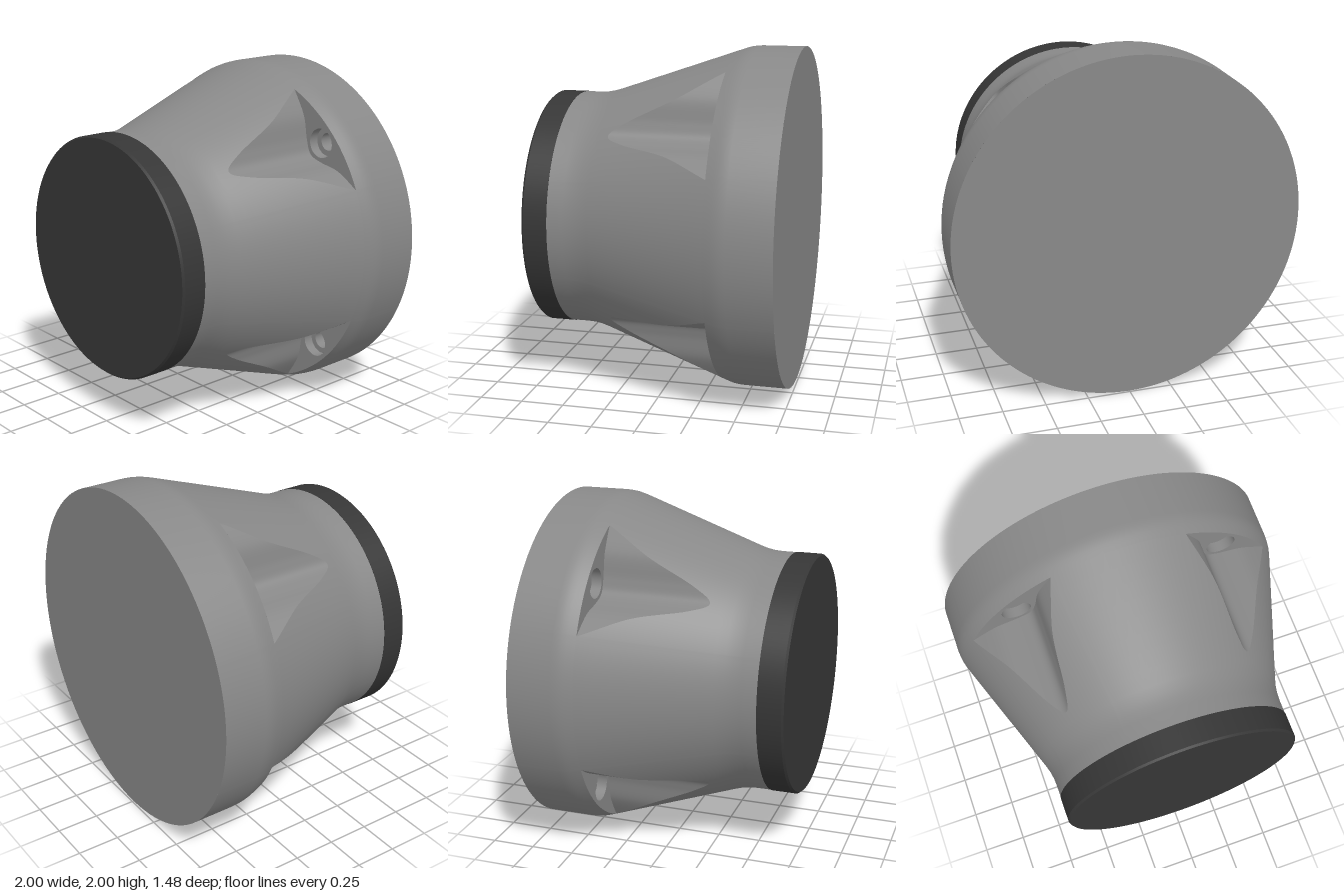
import * as THREE from 'three';

const FLOOR_Z = -0.36, CONE_Z = 0.35, CONE_R = 0.727, SLOPE = 0.345;
const FLOOR_R = CONE_R + SLOPE * (CONE_Z - FLOOR_Z);
const BORE_U = 0.863;                       // screw distance from the axis

// Surface swept round the z axis; profile(column) lists [radius, z] from front to back
function sweep(columns, profile, closed) {
  const pos = [], index = [];
  const n = columns.length;
  let rows = 0;
  for (const c of columns) {
    const pts = profile(c);
    rows = pts.length;
    for (const [r, z] of pts) pos.push(r * Math.cos(c.a), r * Math.sin(c.a), z);
  }
  for (let i = 0; i < (closed ? n : n - 1); i++) {
    for (let j = 0; j < rows - 1; j++) {
      const a = i * rows + j, b = ((i + 1) % n) * rows + j;
      index.push(a, a + 1, b, a + 1, b + 1, b);
    }
  }
  const g = new THREE.BufferGeometry();
  g.setAttribute('position', new THREE.Float32BufferAttribute(pos, 3));
  g.setIndex(index);
  g.computeVertexNormals();
  return g;
}

export function createModel() {
  const housingGrey = new THREE.MeshStandardMaterial({ color: 0x888888, side: THREE.DoubleSide });
  const capBlack = new THREE.MeshStandardMaterial({ color: 0x363636 });
  const model = new THREE.Group();
  model.name = 'housing';
  model.position.y = 1;
  const root = new THREE.Group();
  root.add(model);

  const add = (parent, name, geometry, material) => {
    const m = new THREE.Mesh(geometry, material);
    m.name = name;
    parent.add(m);
    return m;
  };

  // Pocket outline: wraps round the screw and flares out to the cone
  const half = [[0.905, 0.354], [0.863, 0.198], [0.785, 0.078]];
  const outline = new THREE.SplineCurve([
    ...half.map(([u, v]) => new THREE.Vector2(u, -v)),
    new THREE.Vector2(0.753, 0),
    ...half.slice().reverse().map(([u, v]) => new THREE.Vector2(u, v)),
  ]).getPoints(60);
  const pocket = outline.map(p => ({ a: Math.atan2(p.y, p.x), r: Math.min(p.length(), FLOOR_R) }));
  pocket[0].r = pocket[60].r = FLOOR_R;

  // Columns round the full circle, matching the pocket edges
  const columns = [];
  const edge = pocket[60].a, gap = Math.PI / 2 - 2 * edge;
  for (let q = 0; q < 4; q++) {
    const mid = Math.PI / 4 + q * Math.PI / 2;
    for (const p of pocket) columns.push({ a: mid + p.a, r: p.r });
    for (let k = 1; k < 20; k++) columns.push({ a: mid + edge + gap * k / 20, r: FLOOR_R });
  }
  const rimZ = r => CONE_Z - (r - CONE_R) / SLOPE;

  // Neck and cone, cut away at the pockets
  add(model, 'coneShell', sweep(columns, c => {
    const pts = [[0.7, 0.59], [0.7, 0.5], [0.703, 0.45], [0.712, 0.4]];
    for (let k = 0; k <= 8; k++) {
      const r = CONE_R + (c.r - CONE_R) * k / 8;
      pts.push([r, rimZ(r)]);
    }
    return pts;
  }, true), housingGrey);

  // Wide rear band and flat back
  add(model, 'rearBand', sweep(columns, () => [
    [FLOOR_R, FLOOR_Z], [0.979, -0.381], [0.987, -0.405], [0.994, -0.43],
    [0.998, -0.455], [1, -0.485], [1, -0.74],
  ], true), housingGrey);
  const back = add(model, 'backFace', new THREE.CircleGeometry(1, 160), housingGrey);
  back.rotation.y = Math.PI;
  back.position.z = -0.74;

  // Four screw pockets
  const wallGeo = sweep(pocket, c => [[c.r, rimZ(c.r)], [c.r, FLOOR_Z]], false);
  const floorShape = new THREE.Shape(outline);
  floorShape.absarc(0, 0, FLOOR_R, edge, -edge, true);
  floorShape.holes.push(new THREE.Path().absarc(BORE_U, 0, 0.085, 0, Math.PI * 2, true));
  const floorGeo = new THREE.ShapeGeometry(floorShape, 32);
  const tube = (r, depth) => new THREE.CylinderGeometry(r, r, depth, 40, 1, true).rotateX(Math.PI / 2);

  for (let q = 0; q < 4; q++) {
    const g = new THREE.Group();
    g.name = 'screwPocket' + (q + 1);
    g.rotation.z = Math.PI / 4 + q * Math.PI / 2;
    model.add(g);
    add(g, 'pocketWall', wallGeo, housingGrey);
    add(g, 'pocketFloor', floorGeo, housingGrey).position.z = FLOOR_Z;
    const bore = [
      ['counterbore', tube(0.085, 0.06), -0.03],
      ['counterboreSeat', new THREE.RingGeometry(0.052, 0.085, 40), -0.06],
      ['screwHole', tube(0.052, 0.1), -0.11],
      ['screwHoleBottom', new THREE.CircleGeometry(0.052, 40), -0.16],
    ];
    for (const [name, geo, z] of bore) {
      add(g, name, geo, housingGrey).position.set(BORE_U, 0, FLOOR_Z + z);
    }
  }

  // Dark front cap with a slim bevel
  const cap = new THREE.Group();
  cap.name = 'frontCap';
  model.add(cap);
  const disc = (r1, r2, h) => new THREE.CylinderGeometry(r1, r2, h, 128).rotateX(Math.PI / 2);
  add(cap, 'capBody', disc(0.702, 0.702, 0.138), capBlack).position.z = 0.659;
  add(cap, 'capBevel', disc(0.692, 0.702, 0.012), capBlack).position.z = 0.734;

  return root;
}
